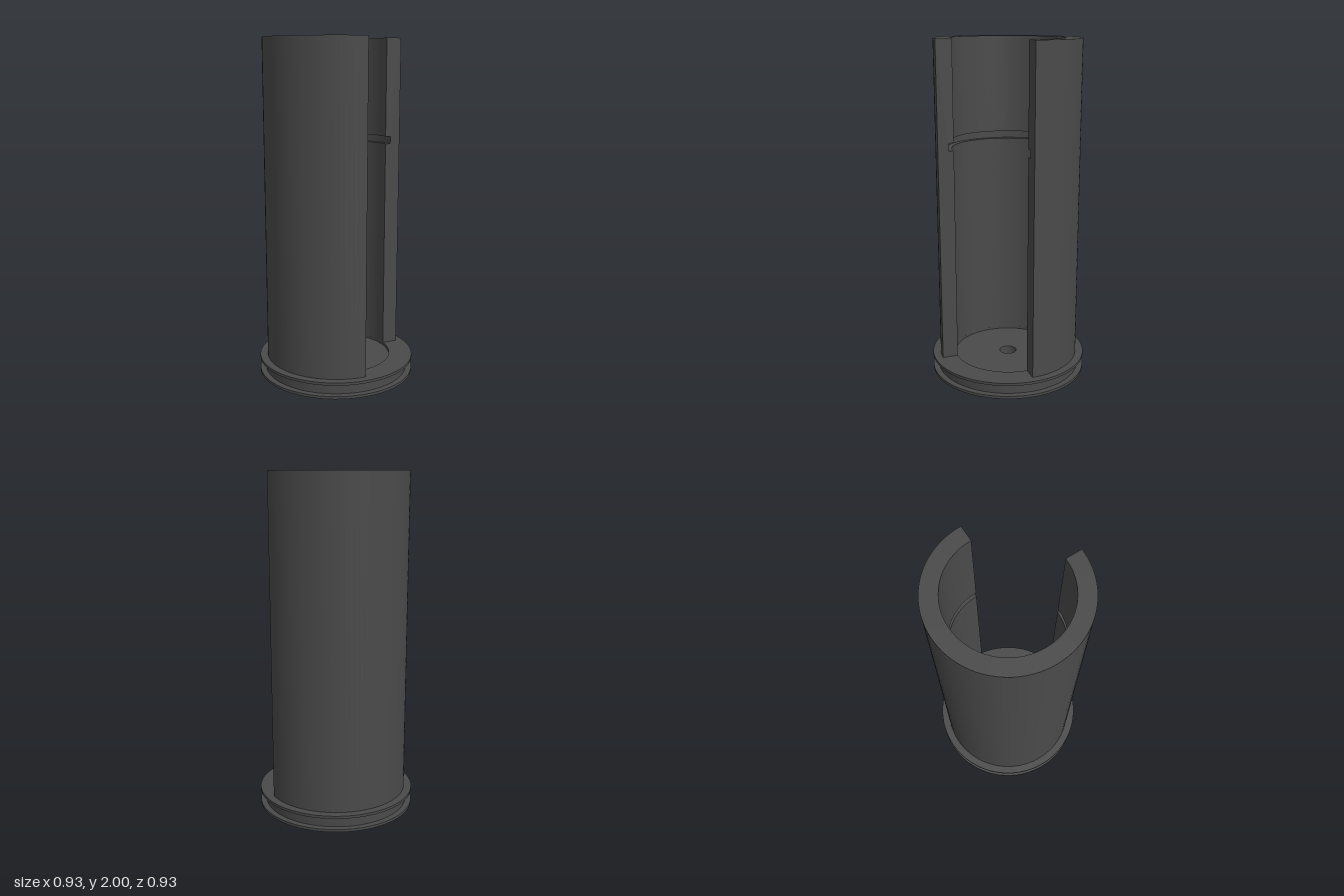
import * as THREE from 'three';
import { toCreasedNormals } from 'three/addons/utils/BufferGeometryUtils.js';

const material = new THREE.MeshStandardMaterial({ color: 0x4a4a4a });
const cutMaterial = new THREE.MeshStandardMaterial({ color: 0x4a4a4a, side: THREE.DoubleSide });

// Revolves a closed [radius, height] outline (counter-clockwise) about y
function revolve(name, outline, start = 0, sweep = Math.PI * 2) {
  const points = [...outline, outline[0]].map(([r, y]) => new THREE.Vector2(r, y));
  const geometry = new THREE.LatheGeometry(points, 72, start, sweep);
  const mesh = new THREE.Mesh(toCreasedNormals(geometry, 0.5), material);
  mesh.name = name;
  return mesh;
}

export function createModel() {
  const model = new THREE.Group();
  model.name = 'cutawayTube';

  // Spool-shaped base: two thin flanges, a narrower core, a sunken floor and a through hole
  const hole = 0.051, inner = 0.328, core = 0.432, flange = 0.467;
  model.add(revolve('base', [
    [hole, 0], [flange, 0], [flange, 0.016], [core, 0.016], [core, 0.082],
    [flange, 0.082], [flange, 0.098], [inner, 0.098], [inner, 0.082], [hole, 0.082],
  ]));

  // Thick tube with an inner ring groove, open over the front left quarter
  const groove = 0.36;
  const wall = [
    [inner, 0.098], [0.421, 0.098], [0.423, 2], [inner, 2],
    [inner, 1.418], [groove, 1.418], [groove, 1.373], [inner, 1.373],
  ];
  const tube = new THREE.Group();
  tube.name = 'tube';
  tube.add(revolve('tubeWall', wall, Math.PI / 2, Math.PI * 1.5));

  // Flat faces closing the wall at both sides of the opening
  const section = new THREE.ShapeGeometry(
    new THREE.Shape(wall.map(([r, y]) => new THREE.Vector2(r, y))));
  ['leftCutFace', 'frontCutFace'].forEach((name, i) => {
    const face = new THREE.Mesh(section, cutMaterial);
    face.name = name;
    face.rotation.y = -i * Math.PI / 2;
    tube.add(face);
  });
  model.add(tube);
  return model;
}
